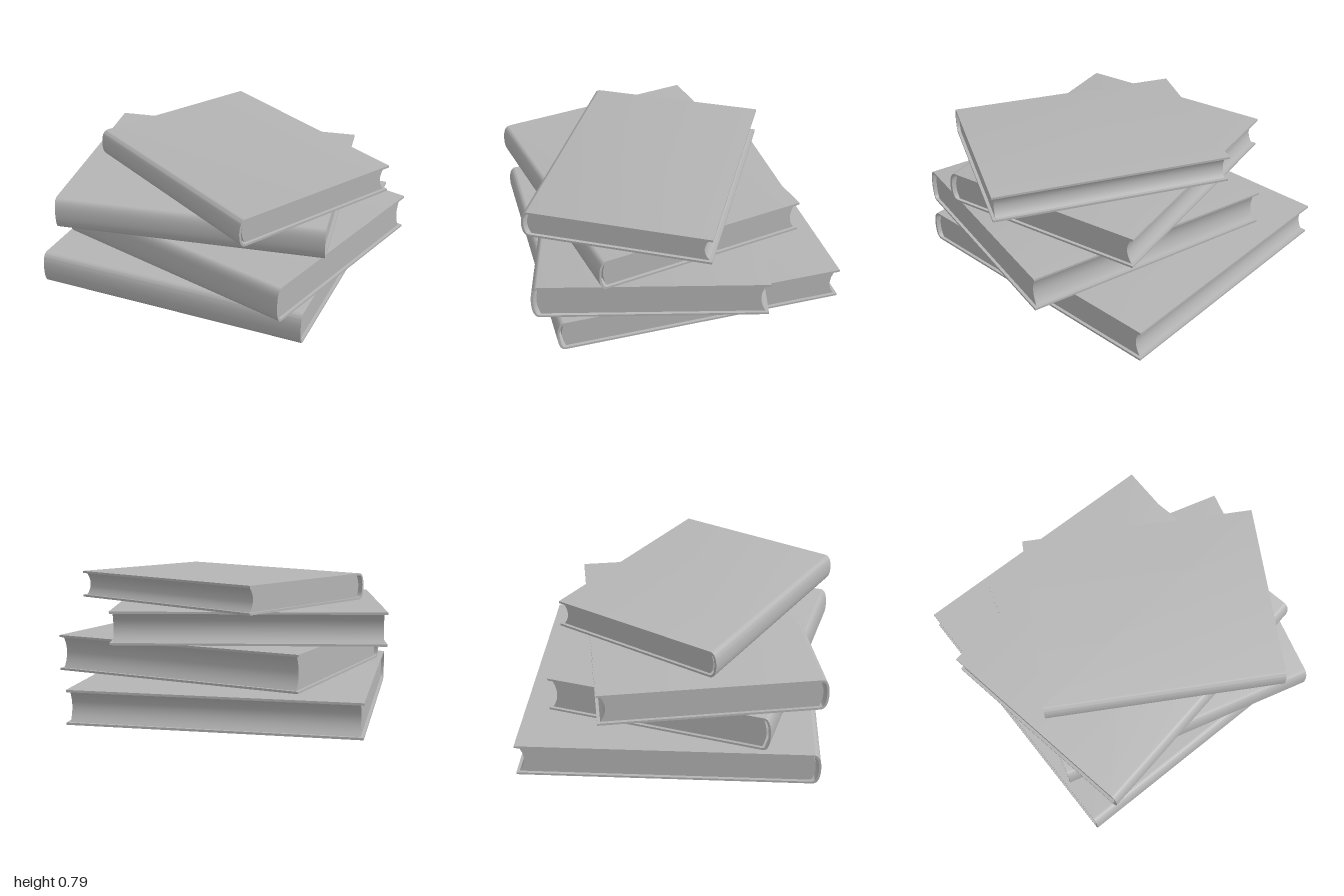
import * as THREE from 'three';
import { toCreasedNormals } from 'three/addons/utils/BufferGeometryUtils.js';

const COVER = 0.013; // board thickness
const BULGE = 0.045; // depth of the rounded spine
const INSET = 0.018; // how far the pages sit inside the covers

// Extrudes a (depth, height) profile across the width, spine towards +z
function extrudeAcross(shape, width) {
  const geometry = new THREE.ExtrudeGeometry(shape, { depth: width, bevelEnabled: false, curveSegments: 14 });
  geometry.translate(0, 0, -width / 2);
  geometry.rotateY(-Math.PI / 2);
  return toCreasedNormals(geometry, Math.PI / 6);
}

// C-shaped hard cover: two boards joined by a rounded spine
function coverShape(d, h) {
  const front = -d / 2, joint = d / 2 - BULGE, back = d / 2, inner = back - COVER;
  const s = new THREE.Shape();
  s.moveTo(front, 0);
  s.lineTo(joint, 0);
  s.bezierCurveTo(back - 0.01, 0, back, h * 0.25, back, h / 2);
  s.bezierCurveTo(back, h * 0.75, back - 0.01, h, joint, h);
  s.lineTo(front, h);
  s.lineTo(front, h - COVER);
  s.lineTo(joint, h - COVER);
  s.bezierCurveTo(inner - 0.01, h - COVER, inner, h * 0.75, inner, h / 2);
  s.bezierCurveTo(inner, h * 0.25, inner - 0.01, COVER, joint, COVER);
  s.lineTo(front, COVER);
  s.closePath();
  return s;
}

// Page block: hollow fore edge, rounded back with a small gap to the spine
function pageShape(d, h) {
  const front = -d / 2 + INSET, back = d / 2 - BULGE - 0.005;
  const s = new THREE.Shape();
  s.moveTo(front, COVER);
  s.lineTo(back, COVER);
  s.quadraticCurveTo(back + 0.04, h / 2, back, h - COVER);
  s.lineTo(front, h - COVER);
  s.quadraticCurveTo(front + 0.06, h / 2, front, COVER);
  return s;
}

function makeBook(name, width, depth, height, material) {
  const book = new THREE.Group();
  book.name = name;
  const cover = new THREE.Mesh(extrudeAcross(coverShape(depth, height), width), material);
  cover.name = 'cover';
  const pages = new THREE.Mesh(extrudeAcross(pageShape(depth, height), width - 2 * INSET), material);
  pages.name = 'pages';
  book.add(cover, pages);
  return book;
}

export function createModel() {
  const model = new THREE.Group();
  model.name = 'bookStack';
  const grey = new THREE.MeshStandardMaterial({ color: 0xb4b4b4 });
  grey.name = 'grey';

  // name, width, depth, bottom, top, x, z, turn in degrees
  const books = [
    ['bottomBook', 1.66, 1.743, 0, 0.2, -0.083, -0.062, 0],
    ['lowerMiddleBook', 1.595, 1.352, 0.202, 0.42, 0.054, 0.071, -15],
    ['upperMiddleBook', 1.588, 1.29, 0.424, 0.619, -0.107, 0.062, 10],
    ['topBook', 1.42, 1.092, 0.621, 0.786, 0.08, 0.088, -30],
  ];
  for (const [name, width, depth, bottom, top, x, z, turn] of books) {
    const book = makeBook(name, width, depth, top - bottom, grey);
    book.position.set(x, bottom, z);
    book.rotation.y = THREE.MathUtils.degToRad(turn);
    model.add(book);
  }
  return model;
}
